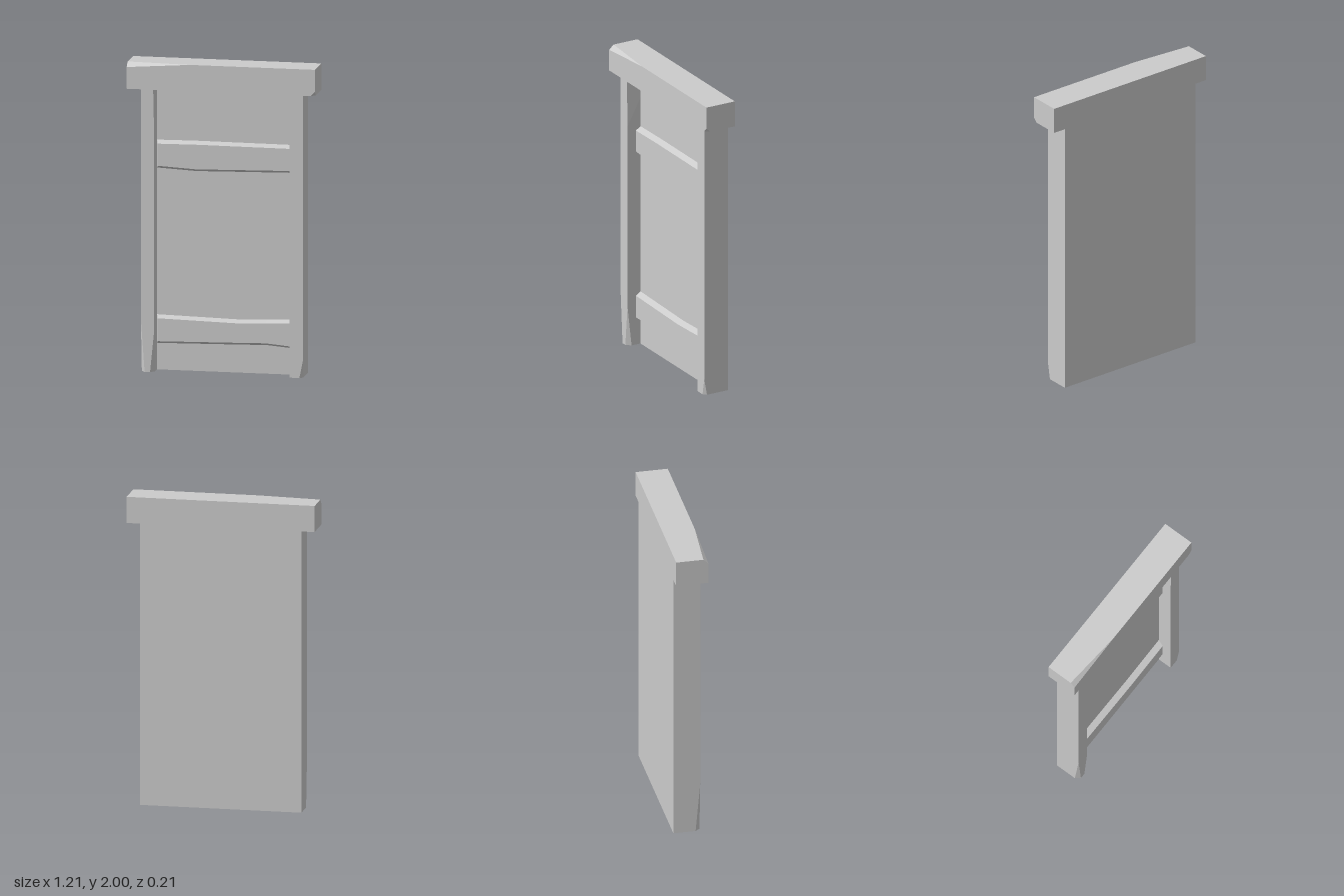
import * as THREE from 'three';
import { ConvexGeometry } from 'three/addons/geometries/ConvexGeometry.js';

const BACK = -0.104, PANEL = -0.025, POST = 0.07, RAIL = 0.015, LINTEL = 0.104;
const IN = 0.436, OUT = 0.522, HEAD = 1.83;

const material = new THREE.MeshStandardMaterial({ color: 0xcccccc, flatShading: true });

function add(group, name, geometry) {
  const mesh = new THREE.Mesh(geometry, material);
  mesh.name = name;
  group.add(mesh);
  return mesh;
}

// Flat-sided solid from its corner points
const solid = (corners) => new ConvexGeometry(corners.map((c) => new THREE.Vector3(...c)));

// Post on side s, given its front bottom corners after chipping
function post(s, chips) {
  return solid([
    [s * OUT, 0, BACK], [s * IN, 0, BACK], [s * OUT, HEAD, BACK], [s * IN, HEAD, BACK],
    [s * OUT, HEAD, POST], [s * (IN + 0.007), HEAD, POST], [s * IN, 1.5, POST],
    ...chips.map(([x, y, z]) => [s * x, y, z]),
  ]);
}

// Bevelled rail lofted along x; each station is [x, bottom y, top y]
function rail(stations) {
  const positions = [], index = [];
  const last = stations.length - 1;
  stations.forEach(([x, bottom, top], i) => {
    const xf = i === 0 ? x + 0.011 : i === last ? x - 0.011 : x;
    positions.push(x, bottom, PANEL, xf, bottom + 0.019, RAIL, xf, top - 0.018, RAIL, x, top, PANEL);
    if (i === last) return;
    for (let k = 0; k < 3; k++) {
      const a = i * 4 + k, b = a + 4;
      index.push(a, b, b + 1, a, b + 1, a + 1);
    }
  });
  // End faces
  const e = last * 4;
  index.push(0, 1, 2, 0, 2, 3, e, e + 2, e + 1, e, e + 3, e + 2);
  const geometry = new THREE.BufferGeometry();
  geometry.setAttribute('position', new THREE.Float32BufferAttribute(positions, 3));
  geometry.setIndex(index);
  const flat = geometry.toNonIndexed();
  flat.computeVertexNormals();
  return flat;
}

export function createModel() {
  const door = new THREE.Group();
  door.name = 'door';

  // Recessed panel between the posts
  add(door, 'panel', new THREE.BoxGeometry(2 * IN, HEAD, PANEL - BACK))
    .position.set(0, HEAD / 2, (PANEL + BACK) / 2);

  // Posts with chipped feet
  add(door, 'rightPost', post(-1, [
    [OUT, 0.34, POST], [OUT, 0, 0.04], [0.498, 0, POST],
    [IN, 0.27, POST], [IN, 0, 0.04], [0.463, 0, POST],
  ]));
  add(door, 'leftPost', post(1, [
    [OUT, 0.11, POST], [OUT, 0, 0.05], [0.5, 0, POST], [IN, 0, POST],
  ]));

  // Lintel with two chipped corners
  const w = 0.607;
  add(door, 'lintel', solid([
    [-w, HEAD, BACK], [w, HEAD, BACK], [-w, 2, BACK], [w, 2, BACK],
    [-w, HEAD, LINTEL], [w, 2, LINTEL],
    [-0.2, 2, LINTEL], [-w, 1.97, LINTEL], [-w, 2, 0.072],
    [w, 1.857, LINTEL], [0.58, HEAD, LINTEL], [w, HEAD, 0.077],
  ]));

  // Cross rails with uneven edges
  add(door, 'upperRail', rail([
    [-IN, 1.303, 1.483], [-0.18, 1.29, 1.486], [IN, 1.303, 1.483],
  ]));
  add(door, 'lowerRail', rail([
    [-IN, 0.171, 0.356], [0.1, 0.181, 0.343], [0.27, 0.185, 0.349], [IN, 0.171, 0.356],
  ]));

  return door;
}
